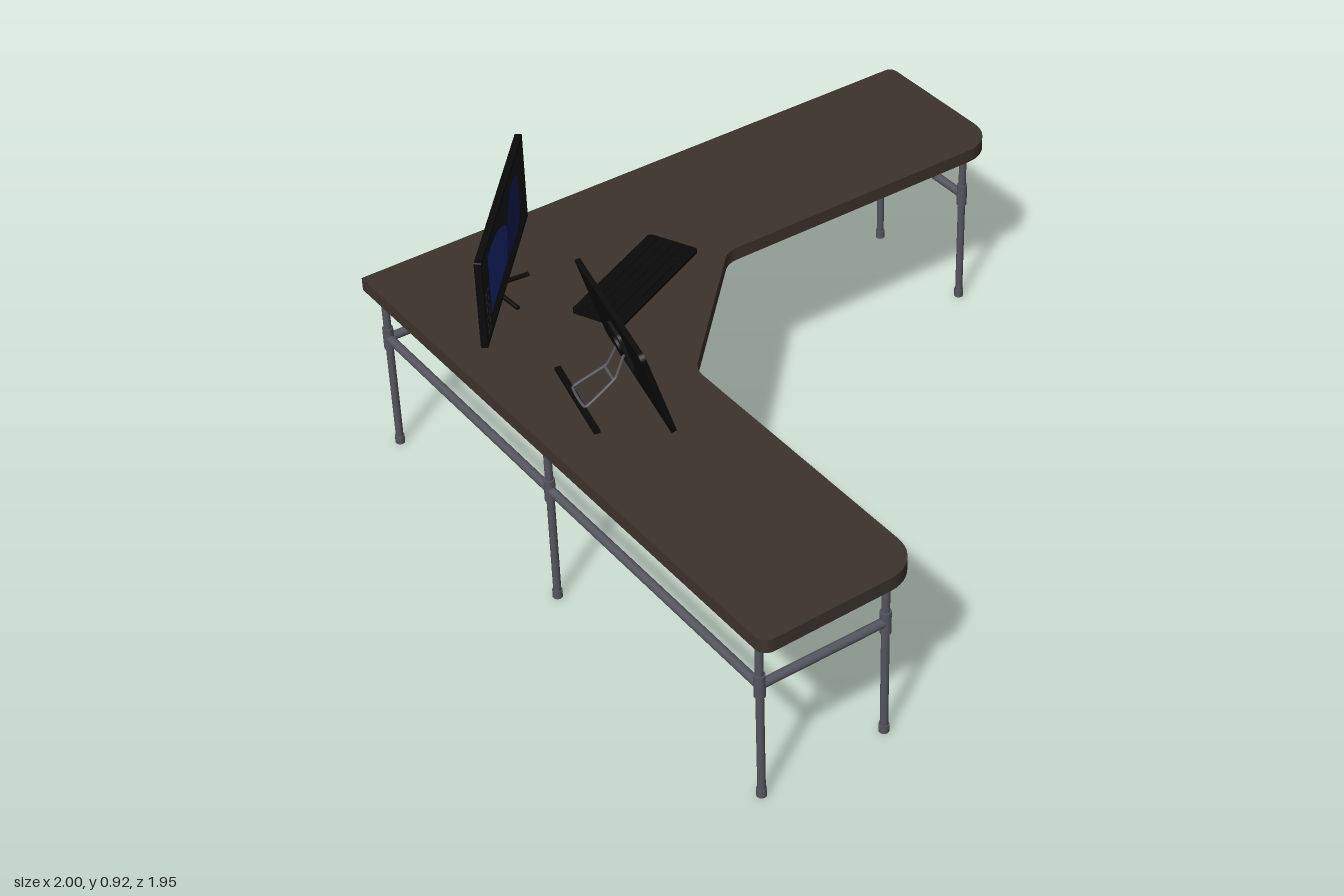
import * as THREE from 'three';

const mat = (name, color) => Object.assign(new THREE.MeshStandardMaterial({ color }), { name });

// Closed outline from [x, y, cornerRadius] points
function outline(pts) {
  const s = new THREE.Shape(), n = pts.length;
  pts.forEach(([x, y, r], i) => {
    const p = new THREE.Vector2(x, y);
    const toward = ([a, b]) => new THREE.Vector2(a, b).sub(p).setLength(r).add(p);
    const a = toward(pts[(i + n - 1) % n]), b = toward(pts[(i + 1) % n]);
    if (i === 0) s.moveTo(a.x, a.y); else s.lineTo(a.x, a.y);
    if (r > 0) {
      // cubic corner close to a circular arc
      const c1 = a.clone().lerp(p, 0.55), c2 = b.clone().lerp(p, 0.55);
      s.bezierCurveTo(c1.x, c1.y, c2.x, c2.y, b.x, b.y);
    }
  });
  s.closePath();
  return s;
}

const roundedRect = (w, h, r) => outline([[-w / 2, -h / 2, r], [w / 2, -h / 2, r], [w / 2, h / 2, r], [-w / 2, h / 2, r]]);

// Slab centred on its thickness (z)
function slab(shape, depth) {
  const g = new THREE.ExtrudeGeometry(shape, { depth, bevelEnabled: false, curveSegments: 10 });
  return g.translate(0, 0, -depth / 2);
}

export function createModel() {
  const wood = mat('dark wood', 0x3d342b);
  const steel = mat('grey steel', 0x55555e);
  const black = mat('black plastic', 0x0a0a0a);
  const charcoal = mat('charcoal', 0x161617);
  const blue = mat('screen blue', 0x1c2c7c);
  const navy = mat('screen navy', 0x141c58);
  const grey = mat('screen icons', 0x3a3a3c);

  const model = new THREE.Group();
  model.name = 'cornerDesk';
  const add = (parent, name, geo, material, x = 0, y = 0, z = 0) => {
    const m = new THREE.Mesh(geo, material);
    m.name = name;
    m.position.set(x, y, z);
    parent.add(m);
    return m;
  };
  const group = (name, x, y, z, turn, tilt = 0) => {
    const g = new THREE.Group();
    g.name = name;
    g.position.set(x, y, z);
    g.rotation.set(tilt, turn, 0, 'YXZ');
    model.add(g);
    return g;
  };
  const rod = (parent, name, a, b, r, material) => {
    const from = new THREE.Vector3(...a), to = new THREE.Vector3(...b);
    const dir = to.clone().sub(from);
    const m = add(parent, name, new THREE.CylinderGeometry(r, r, dir.length(), 16), material);
    m.position.copy(from).add(to).multiplyScalar(0.5);
    m.quaternion.setFromUnitVectors(new THREE.Vector3(0, 1, 0), dir.normalize());
    return m;
  };

  // L-shaped top, outline given as x, z, corner radius
  const top = [
    [-0.96, 0.97, 0], [1, 0.925, 0.035], [0.985, 0.412, 0.11], [-0.03, 0.433, 0.03],
    [-0.452, 0.04, 0.03], [-0.47, -0.98, 0.11], [-1, -0.97, 0.025],
  ].map(([x, z, r]) => [x, -z, r]);
  add(model, 'deskTop', slab(outline(top), 0.042).rotateX(-Math.PI / 2), wood, 0, 0.575, 0);

  // Legs with feet, rail joints and top flanges
  const legs = [[-0.535, -0.9], [-0.95, -0.895], [-0.935, 0.05], [-0.92, 0.925], [-0.045, 0.91], [0.93, 0.89], [0.925, 0.49]];
  const railY = 0.388;
  const frame = group('frame', 0, 0, 0, 0);
  legs.forEach(([x, z], i) => {
    rod(frame, 'leg', [x, 0, z], [x, 0.556, z], 0.0115, steel);
    rod(frame, 'foot', [x, 0, z], [x, 0.025, z], 0.0145, steel);
    rod(frame, 'joint', [x, railY - 0.036, z], [x, railY + 0.036, z], 0.016, steel);
    rod(frame, 'flange', [x, 0.54, z], [x, 0.556, z], 0.016, steel);
    if (i > 0) rod(frame, 'rail', [legs[i - 1][0], railY, legs[i - 1][1]], [x, railY, z], 0.0135, steel);
  });

  // Upright monitor in the corner
  const corner = group('cornerMonitor', -0.658, 0.779, 0.667, 2.431);
  add(corner, 'panel', slab(roundedRect(0.66, 0.286, 0.004), 0.02), black);
  add(corner, 'backBulge', slab(roundedRect(0.4, 0.17, 0.03), 0.012), black, 0, -0.02, -0.012);
  const flat = (name, pts, material, z) =>
    add(corner, name, new THREE.ShapeGeometry(outline(pts), 10), material, 0, 0, z);
  flat('screen', [[-0.32, -0.13, 0], [0.32, -0.13, 0], [0.32, 0.133, 0], [-0.32, 0.133, 0]], charcoal, 0.0108);
  flat('wallpaperLeft', [[-0.25, -0.075, 0], [0, -0.075, 0], [0.03, 0.03, 0.03], [-0.1, 0.1, 0.05], [-0.25, 0.112, 0]], blue, 0.0118);
  flat('wallpaperRight', [[0, -0.075, 0], [0.19, -0.088, 0.04], [0.24, 0, 0.08], [0.21, 0.1, 0.05], [0.1, 0.1, 0.02], [0.03, 0.03, 0.03]], navy, 0.0118);
  for (let r = 0; r < 6; r++) {
    for (let c = 0; c < 2; c++) {
      add(corner, 'icon', new THREE.PlaneGeometry(0.016, 0.012), grey, -0.305 + c * 0.028, 0.02 - r * 0.025, 0.0118);
    }
  }
  // Its neck and splayed foot
  rod(corner, 'neck', [0, -0.05, -0.025], [0, -0.172, -0.055], 0.014, black);
  add(corner, 'footPad', new THREE.BoxGeometry(0.05, 0.01, 0.045), black, 0, -0.177, -0.05);
  for (const s of [-1, 1]) rod(corner, 'footToe', [0, -0.168, -0.045], [s * 0.085, -0.178, 0.05], 0.007, black);

  // Reclined monitor
  const tilted = group('tiltedMonitor', -0.07, 0.744, 0.632, 2.934, -0.29);
  add(tilted, 'panel', slab(roundedRect(0.51, 0.295, 0.022), 0.015), black);
  add(tilted, 'screen', new THREE.PlaneGeometry(0.475, 0.255), black, 0, 0, 0.0085);
  add(tilted, 'backPlate', slab(roundedRect(0.1, 0.14, 0.02), 0.01), charcoal, 0, 0, -0.011);
  const hub = add(tilted, 'hub', new THREE.CylinderGeometry(0.032, 0.032, 0.012, 24), black, 0, 0.01, -0.018);
  hub.rotation.x = Math.PI / 2;

  // Its stand: floor bar and bent wire struts
  const stand = group('tiltedMonitorStand', -0.07, 0.596, 0.632, 2.934);
  add(stand, 'footBar', new THREE.BoxGeometry(0.315, 0.01, 0.018), black, 0, 0.005, -0.146);
  const wire = new THREE.CatmullRomCurve3([
    [-0.025, 0.14, -0.012], [-0.034, 0.07, -0.045], [-0.05, 0.012, -0.14],
    [0.05, 0.012, -0.14], [0.034, 0.07, -0.045], [0.025, 0.14, -0.012],
  ].map((p) => new THREE.Vector3(...p)), false, 'catmullrom', 0.15);
  add(stand, 'strut', new THREE.TubeGeometry(wire, 60, 0.0045, 8), steel);
  rod(stand, 'crossBar', [-0.036, 0.066, -0.05], [0.036, 0.066, -0.05], 0.0045, steel);

  // Keyboard
  const keyboard = group('keyboard', -0.48, 0.596, 0.34, 2.025);
  add(keyboard, 'keyboardBody', slab(roundedRect(0.432, 0.166, 0.012), 0.012).rotateX(-Math.PI / 2), black, 0, 0.006, 0);
  const key = new THREE.BoxGeometry(0.022, 0.005, 0.02);
  for (let r = 0; r < 5; r++) {
    for (let c = 0; c < 15; c++) {
      if (r === 4 && c > 3 && c < 10) continue;
      add(keyboard, 'key', key, black, (c - 7) * 0.0272, 0.0135, (r - 2) * 0.028);
    }
  }
  add(keyboard, 'spaceBar', new THREE.BoxGeometry(0.156, 0.005, 0.02), black, -0.5 * 0.0272, 0.0135, 0.056);

  return model;
}
